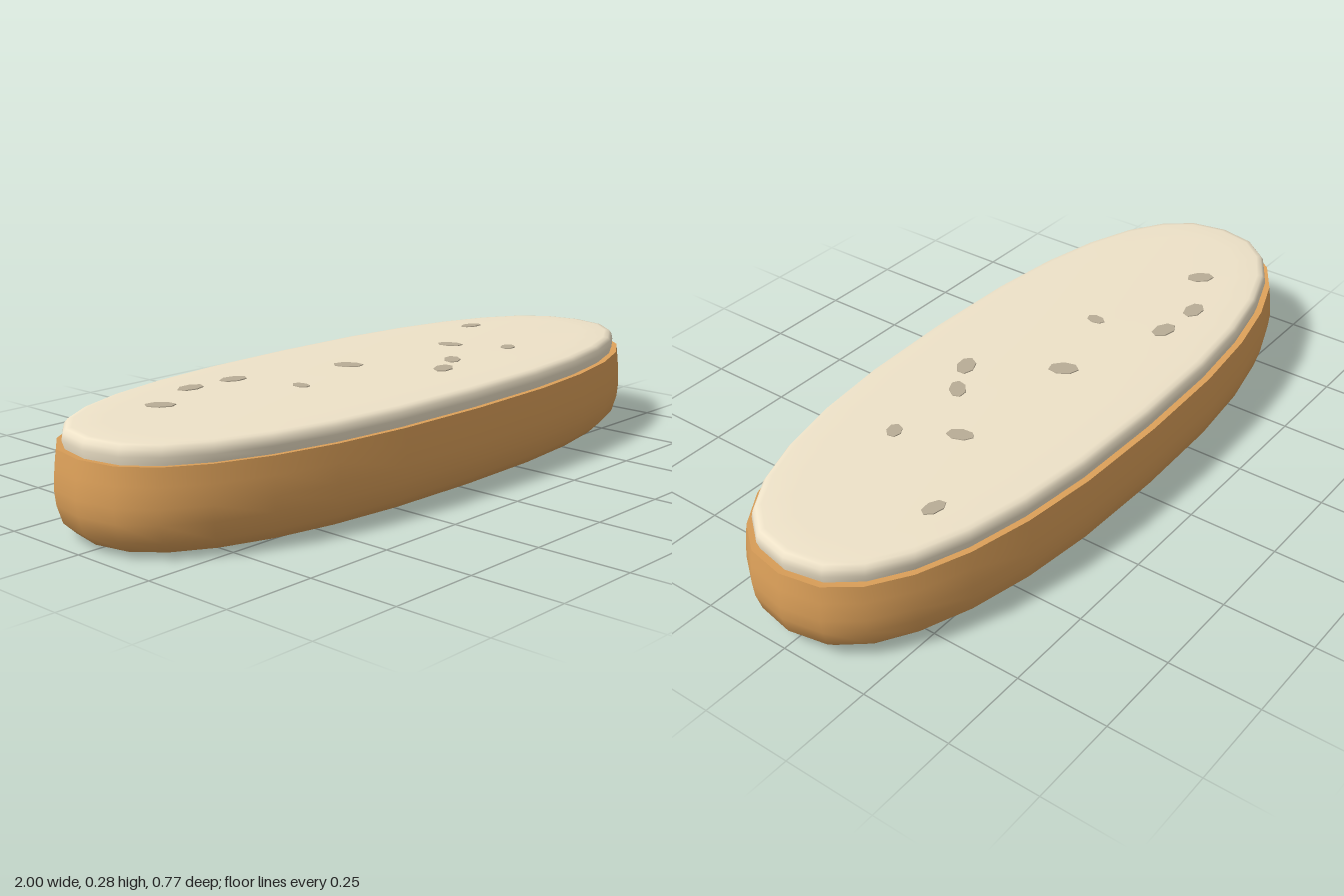
import * as THREE from 'three';
import { toCreasedNormals } from 'three/addons/utils/BufferGeometryUtils.js';

const SIDES = 28;
const RX = 1, RZ = 0.385;

// Rounded-oval outline (superellipse) narrowed by an even inset
function ovalPoint(j, rx, rz) {
  const a = (j / SIDES) * Math.PI * 2;
  const pow = (v) => (Math.abs(v) < 1e-6 ? 0 : Math.sign(v) * Math.abs(v) ** 0.833);
  return [rx * pow(Math.cos(a)), rz * pow(Math.sin(a))];
}

// Closed solid from [inset, y] rings, bottom to top, with a pole at each end
function ovalSolid(bottomY, rings, topY) {
  const pos = [0, bottomY, 0];
  const idx = [];
  for (const [inset, y] of rings) {
    for (let j = 0; j < SIDES; j++) {
      const [x, z] = ovalPoint(j, RX - inset, RZ - inset);
      pos.push(x, y, z);
    }
  }
  const top = pos.length / 3;
  pos.push(0, topY, 0);
  const at = (i, j) => 1 + i * SIDES + (j % SIDES);
  for (let j = 0; j < SIDES; j++) {
    idx.push(0, at(0, j), at(0, j + 1));
    for (let i = 0; i < rings.length - 1; i++) {
      idx.push(at(i, j), at(i + 1, j), at(i + 1, j + 1));
      idx.push(at(i, j), at(i + 1, j + 1), at(i, j + 1));
    }
    idx.push(at(rings.length - 1, j), top, at(rings.length - 1, j + 1));
  }
  const geo = new THREE.BufferGeometry();
  geo.setAttribute('position', new THREE.Float32BufferAttribute(pos, 3));
  geo.setIndex(idx);
  return toCreasedNormals(geo, 1.0);
}

export function createModel() {
  const model = new THREE.Group();
  const add = (name, geometry, color, parent = model) => {
    const mesh = new THREE.Mesh(geometry, new THREE.MeshStandardMaterial({ color }));
    mesh.name = name;
    parent.add(mesh);
    return mesh;
  };

  // Baked base with a rounded underside
  add('pastryBase', ovalSolid(0, [
    [0.13, 0], [0.05, 0.012], [0.018, 0.043], [0.004, 0.09], [0, 0.13],
    [0.004, 0.18], [0.01, 0.225], [0.035, 0.222],
  ], 0.222), 0xdca059);

  // Icing slab sunk into the base, with a soft edge and shallow dome
  add('icing', ovalSolid(0.16, [
    [0.03, 0.16], [0.03, 0.225], [0.024, 0.243], [0.028, 0.26],
    [0.036, 0.27], [0.05, 0.272], [0.13, 0.273],
  ], 0.275), 0xeee2c8);

  // Flat angular flecks: x, z, length, width, turn
  const flecks = new THREE.Group();
  flecks.name = 'flecks';
  model.add(flecks);
  const spots = [
    [-0.66, -0.10, 0.085, 0.055, -0.8], [-0.49, -0.183, 0.085, 0.055, 0],
    [-0.35, -0.173, 0.085, 0.055, -0.2], [-0.283, 0.01, 0.06, 0.04, 1.5],
    [-0.025, -0.065, 0.09, 0.06, -1], [0.12, 0.152, 0.085, 0.055, 0.4],
    [0.22, 0.1, 0.08, 0.05, 0.7], [0.375, -0.035, 0.08, 0.05, -1.2],
    [0.46, 0.11, 0.06, 0.045, 0.5], [0.64, -0.17, 0.075, 0.045, -0.2],
  ];
  for (const [x, z, length, width, turn] of spots) {
    const geo = new THREE.CylinderGeometry(0.46, 0.5, 0.012, 7).toNonIndexed();
    geo.computeVertexNormals();
    const fleck = add('fleck', geo, 0xb9ad96, flecks);
    fleck.scale.set(length, 1, width);
    fleck.rotation.y = turn;
    fleck.position.set(x, 0.2712 - 0.002 * Math.hypot(x, z / RZ), z);
  }
  return model;
}
